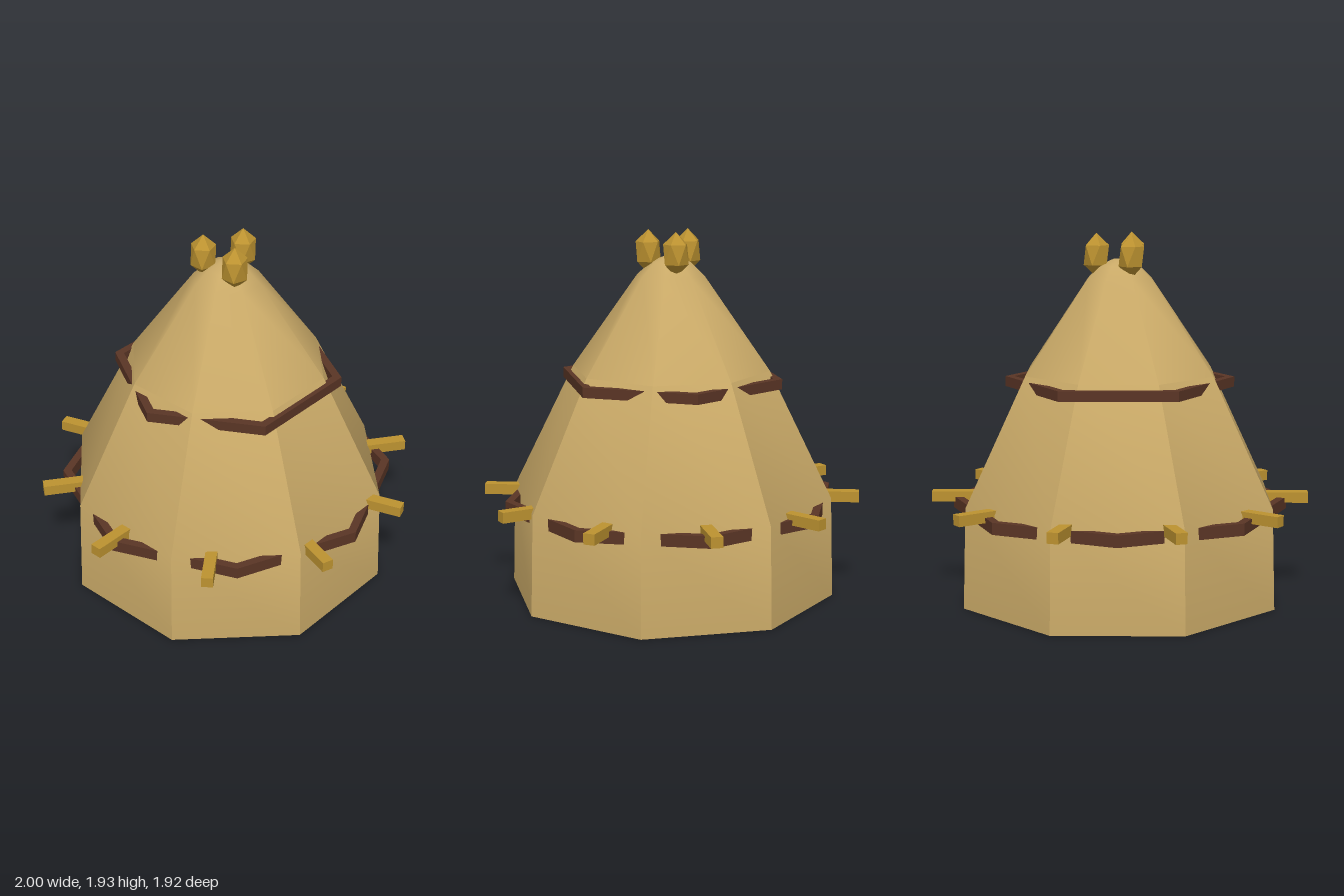
import * as THREE from 'three';
import { toCreasedNormals } from 'three/addons/utils/BufferGeometryUtils.js';

export function createModel() {
  const group = new THREE.Group();
  const hide = new THREE.MeshStandardMaterial({ name: 'tan hide', color: 0xc9a967 });
  const wood = new THREE.MeshStandardMaterial({ name: 'golden wood', color: 0xbc9230 });
  const strap = new THREE.MeshStandardMaterial({ name: 'brown strap', color: 0x5a3525 });

  const add = (name, geometry, material) => {
    const mesh = new THREE.Mesh(geometry, material);
    mesh.name = name;
    group.add(mesh);
    return mesh;
  };

  // Lathe with few sides; edges sharper than the crease angle (degrees) stay hard
  const lathe = (points, sides, start, crease) => toCreasedNormals(
    new THREE.LatheGeometry(points.map(([r, y]) => new THREE.Vector2(r, y)), sides, start),
    THREE.MathUtils.degToRad(crease));

  // Eight-sided tent body, soft towards the peak
  add('tentBody', lathe([
    [0, 0], [0.872, 0], [0.856, 0.53], [0.525, 1.2],
    [0.179, 1.69], [0.105, 1.76], [0.036, 1.79], [0, 1.79],
  ], 8, Math.PI / 8, 39.2), hide);

  // Straps: polygonal hoops with a rectangular section
  const hoop = (name, outer, inner, y0, y1, sides, start) => add(name, lathe([
    [inner, y0], [outer, y0], [outer, y1], [inner, y1], [inner, y0],
  ], sides, start, 20), strap);
  hoop('lowerStrap', 0.887, 0.842, 0.465, 0.527, 8, 0);
  hoop('upperStrap', 0.603, 0.555, 1.12, 1.173, 6, Math.PI / 2);

  // Ten pegs radiating from the wall
  for (let i = 0; i < 10; i++) {
    const a = i * Math.PI / 5;
    const peg = add('peg', new THREE.BoxGeometry(0.225, 0.056, 0.06), wood);
    peg.position.set(Math.cos(a) * 0.8875, 0.528, Math.sin(a) * 0.8875);
    peg.rotation.y = -a;
  }

  // Three faceted pole tips around the peak
  const tip = new THREE.IcosahedronGeometry(1, 0);
  tip.rotateZ(Math.atan(2 / (1 + Math.sqrt(5))));
  tip.scale(0.074, 0.115, 0.074);
  for (let i = 0; i < 3; i++) {
    const a = i * Math.PI * 2 / 3;
    add('poleTip', tip, wood).position.set(Math.cos(a) * 0.122, 1.811, Math.sin(a) * 0.122);
  }
  return group;
}
